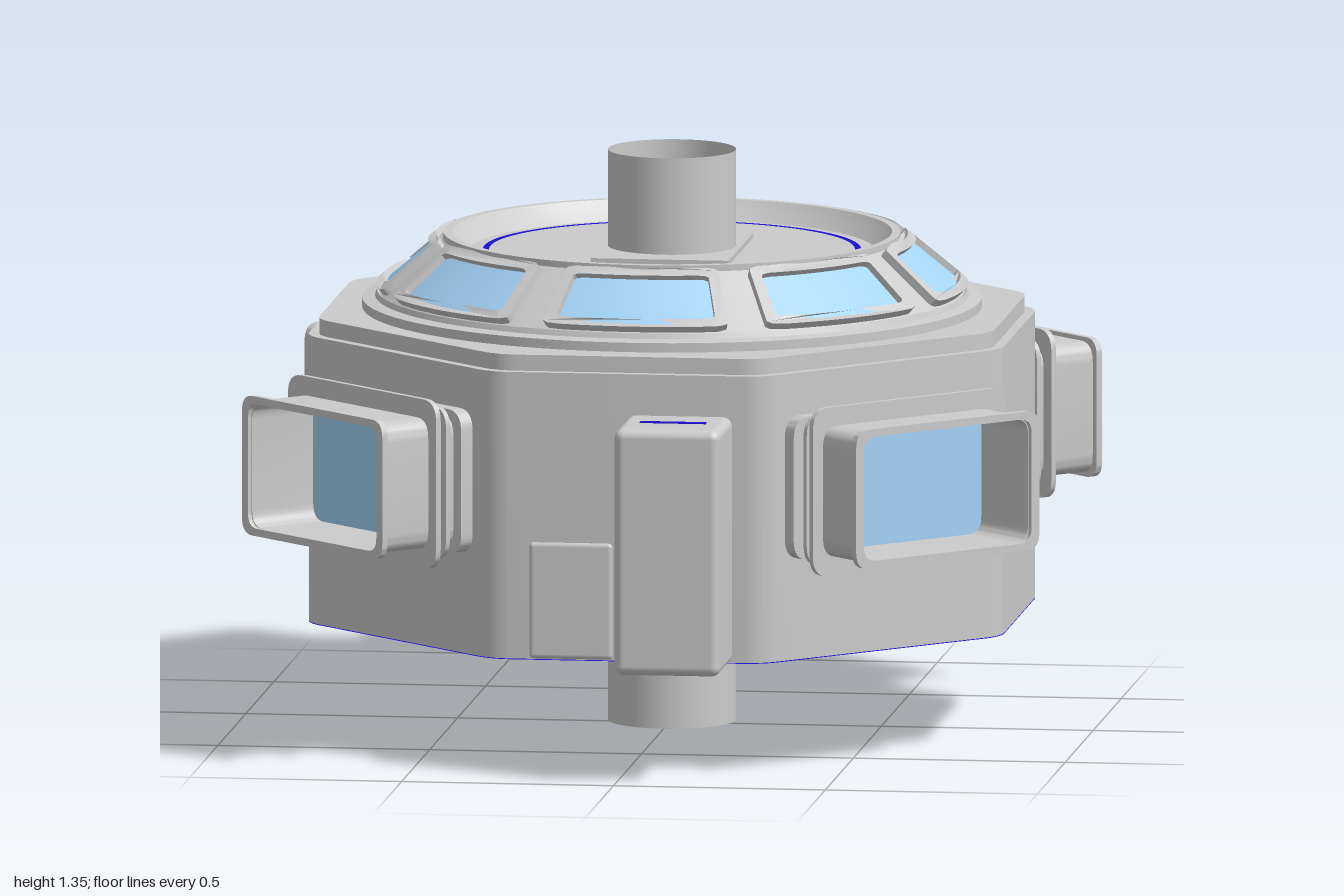
import * as THREE from 'three';
import { toCreasedNormals } from 'three/addons/utils/BufferGeometryUtils.js';
import { RoundedBoxGeometry } from 'three/addons/geometries/RoundedBoxGeometry.js';

const grey = new THREE.MeshStandardMaterial({ color: 0xcccccc });
const greyDouble = new THREE.MeshStandardMaterial({ color: 0xcccccc, side: THREE.DoubleSide });
const glass = new THREE.MeshStandardMaterial({ color: 0xa4d4f8, side: THREE.DoubleSide });
const blue = new THREE.MeshStandardMaterial({ color: 0x1c0fd0, side: THREE.DoubleSide });

function add(parent, name, geometry, material = grey, x = 0, y = 0, z = 0) {
  const mesh = new THREE.Mesh(geometry, material);
  mesh.name = name;
  mesh.position.set(x, y, z);
  parent.add(mesh);
  return mesh;
}

// Rounded rectangle of half width w and half height h
function roundRect(w, h, r, Type = THREE.Shape) {
  const s = new Type();
  s.moveTo(-w + r, -h);
  s.lineTo(w - r, -h).quadraticCurveTo(w, -h, w, -h + r);
  s.lineTo(w, h - r).quadraticCurveTo(w, h, w - r, h);
  s.lineTo(-w + r, h).quadraticCurveTo(-w, h, -w, h - r);
  s.lineTo(-w, -h + r).quadraticCurveTo(-w, -h, -w + r, -h);
  return s;
}

function extrude(shape, depth, curveSegments = 8) {
  const g = new THREE.ExtrudeGeometry(shape, { depth, bevelEnabled: false, curveSegments });
  return toCreasedNormals(g, 0.6);
}

// Rectangular collar: rounded outline with a rounded opening
function collar(w, h, r, iw, ih, ir, depth) {
  const s = roundRect(w, h, r);
  s.holes.push(roundRect(iw, ih, ir, THREE.Path));
  return extrude(s, depth);
}

// Octagon with softened corners and a round hole for the shaft
function octagon(a, b, r = 0.05) {
  const pts = [[a, -b], [a, b], [b, a], [-b, a], [-a, b], [-a, -b], [-b, -a], [b, -a]]
    .map(p => new THREE.Vector2(...p));
  const s = new THREE.Shape();
  pts.forEach((p, i) => {
    const toward = q => q.clone().sub(p).setLength(r).add(p);
    const p0 = toward(pts[(i + 7) % 8]), p1 = toward(pts[(i + 1) % 8]);
    if (i === 0) s.moveTo(p0.x, p0.y); else s.lineTo(p0.x, p0.y);
    s.quadraticCurveTo(p.x, p.y, p1.x, p1.y);
  });
  s.closePath();
  s.holes.push(new THREE.Path().absarc(0, 0, 0.15, 0, Math.PI * 2, true));
  return s;
}

function lathe(points, start = 0, length = Math.PI * 2, segments = 96) {
  const pts = points.map(p => new THREE.Vector2(...p));
  return toCreasedNormals(new THREE.LatheGeometry(pts, segments, start, length), 0.4);
}

// Sloped dome wall: t runs 0 (bottom) to 1 (top), off lifts along the normal
const coneAt = (t, off) => [0.685 - 0.15 * t + off * 0.66, 1.015 + 0.125 * t + off * 0.75];

// Window frame drawn in (angle, t) space, then wrapped on the slope
function domeFrame() {
  const outer = new THREE.Shape(roundRect(0.325, 0.47, 0.06).getSpacedPoints(72));
  outer.holes.push(new THREE.Path(roundRect(0.282, 0.35, 0.05).getSpacedPoints(72)));
  const g = new THREE.ExtrudeGeometry(outer, { depth: 0.026, bevelEnabled: false });
  const p = g.attributes.position;
  for (let i = 0; i < p.count; i++) {
    const a = p.getX(i), [r, y] = coneAt(p.getY(i) + 0.5, p.getZ(i) - 0.006);
    p.setXYZ(i, r * Math.sin(a), y, r * Math.cos(a));
  }
  return toCreasedNormals(g, 0.6);
}

// Docking port, built along +z and centred on its opening
function port() {
  const g = new THREE.Group();
  g.name = 'dockingPort';
  add(g, 'portBase', collar(0.285, 0.17, 0.05, 0.24, 0.145, 0.04, 0.06), grey, 0, 0, 0.78);
  add(g, 'portTunnel', collar(0.255, 0.155, 0.045, 0.245, 0.147, 0.04, 0.27), grey, 0, 0, 0.78);
  add(g, 'portMiddleFlange', collar(0.285, 0.2, 0.05, 0.247, 0.15, 0.04, 0.014), grey, 0, 0, 0.9);
  add(g, 'portInnerFlange', collar(0.275, 0.18, 0.05, 0.247, 0.15, 0.04, 0.012), grey, 0, 0, 0.865);
  add(g, 'portOuterFlange', collar(0.27, 0.165, 0.04, 0.247, 0.147, 0.035, 0.016), grey, 0, 0, 1.045);
  add(g, 'portGlass', new THREE.ShapeGeometry(roundRect(0.246, 0.148, 0.04)), glass, 0, 0, 0.87);
  return g;
}

export function createModel() {
  const model = new THREE.Group();
  model.name = 'module';
  const hub = new THREE.Group();
  hub.name = 'hub';
  hub.position.z = -0.045;
  model.add(hub);

  // Octagonal hull, stepped lip and blue underside
  const tiers = [['hull', 0.82, 0.32, 0.262, 0.678], ['hullLip', 0.797, 0.31, 0.94, 0.038]];
  for (const [name, a, b, y, depth] of tiers)
    add(hub, name, extrude(octagon(a, b), depth, 20).rotateX(-Math.PI / 2), grey, 0, y, 0);
  add(hub, 'underside', new THREE.ShapeGeometry(octagon(0.82, 0.32), 20).rotateX(Math.PI / 2), blue, 0, 0.26, 0);

  // Dome with rim and shallow recessed deck
  add(hub, 'dome', lathe([[0.725, 0.97], [0.725, 1.0], [0.695, 1.005], [0.69, 1.018], coneAt(0, 0),
    coneAt(1, 0), [0.535, 1.155], [0.515, 1.155], [0.5, 1.135], [0.475, 1.11], [0.15, 1.11]]), greyDouble);
  add(hub, 'deckRing', new THREE.RingGeometry(0.428, 0.443, 96).rotateX(-Math.PI / 2), blue, 0, 1.113, 0);

  // Eight curved dome windows
  const frame = domeFrame();
  const pane = lathe([coneAt(0.13, 0.005), coneAt(0.87, 0.005)], -0.285, 0.57, 12);
  for (let i = 0; i < 8; i++) {
    const w = new THREE.Group();
    w.name = 'domeWindow';
    w.rotation.y = i * Math.PI / 4;
    add(w, 'domeWindowFrame', frame);
    add(w, 'domeWindowGlass', pane, glass);
    hub.add(w);
  }

  // Open central shaft and its square collars
  add(hub, 'shaft', new THREE.CylinderGeometry(0.15, 0.15, 1.35, 64, 1, true), greyDouble, 0, 0.675, 0);
  for (const [name, y] of [['upperPlate', 1.108], ['lowerPlate', 0.238]]) {
    const s = new THREE.Shape([[-0.163, -0.225], [0.163, -0.225], [0.163, 0.225], [-0.163, 0.225]]
      .map(p => new THREE.Vector2(...p)));
    s.holes.push(new THREE.Path().absarc(0, 0, 0.149, 0, Math.PI * 2, true));
    add(hub, name, extrude(s, 0.014, 32).rotateX(-Math.PI / 2), grey, 0, y, 0);
  }

  // Four diagonal docking ports
  for (let i = 0; i < 4; i++) {
    const p = port();
    p.position.y = 0.67;
    p.rotation.y = Math.PI / 4 + i * Math.PI / 2;
    hub.add(p);
  }

  // Equipment boxes: name, x range, y range, z range, corner radius
  const boxes = [
    ['frontCabinet', 0, 0.25, 0.26, 0.843, 0.75, 1, 0.022],
    ['rearLargeBox', -0.13, 0.28, 0.51, 0.843, -1, -0.82, 0.022],
    ['rearSmallBox', -0.28, -0.152, 0.51, 0.843, -1, -0.82, 0.022],
    ['rearBoxLink', -0.17, -0.11, 0.53, 0.82, -0.975, -0.84, 0.005],
    ['rearUpperTank', -0.18, 0.12, 0.403, 0.47, -0.97, -0.84, 0.02],
    ['rearLowerTank', -0.2, 0.1, 0.33, 0.395, -0.97, -0.84, 0.02],
    ['frontLowDoor', -0.23, -0.03, 0.262, 0.54, 0.75, 0.781, 0.012],
  ];
  for (const [name, x0, x1, y0, y1, z0, z1, r] of boxes)
    add(model, name, new RoundedBoxGeometry(x1 - x0, y1 - y0, z1 - z0, 4, r), grey,
      (x0 + x1) / 2, (y0 + y1) / 2, (z0 + z1) / 2);

  // Blue light strips on top of the cabinets
  for (const [x, w, z] of [[0.125, 0.155, 0.88], [0.075, 0.325, -0.925], [-0.215, 0.045, -0.925]])
    add(model, 'lightStrip', new THREE.BoxGeometry(w, 0.004, 0.02), blue, x, 0.843, z);

  // Small rear opening beside the tanks
  add(model, 'rearOpening', new THREE.ShapeGeometry(roundRect(0.09, 0.09, 0.03)), blue, 0.18, 0.4, -0.868);

  // Side hatch on the right wall
  const hatch = new THREE.Group();
  hatch.name = 'sideHatch';
  hatch.position.set(-0.815, 0.595, 0.115);
  hatch.rotation.y = -Math.PI / 2;
  add(hatch, 'hatchFrame', collar(0.115, 0.13, 0.035, 0.075, 0.09, 0.025, 0.027));
  const tri = new THREE.Shape([[-0.07, 0.0], [-0.03, 0.06], [0.065, -0.08]].map(p => new THREE.Vector2(...p)));
  add(hatch, 'hatchPanel', new THREE.ShapeGeometry(tri), blue, 0, 0, 0.009);
  model.add(hatch);

  return model;
}
